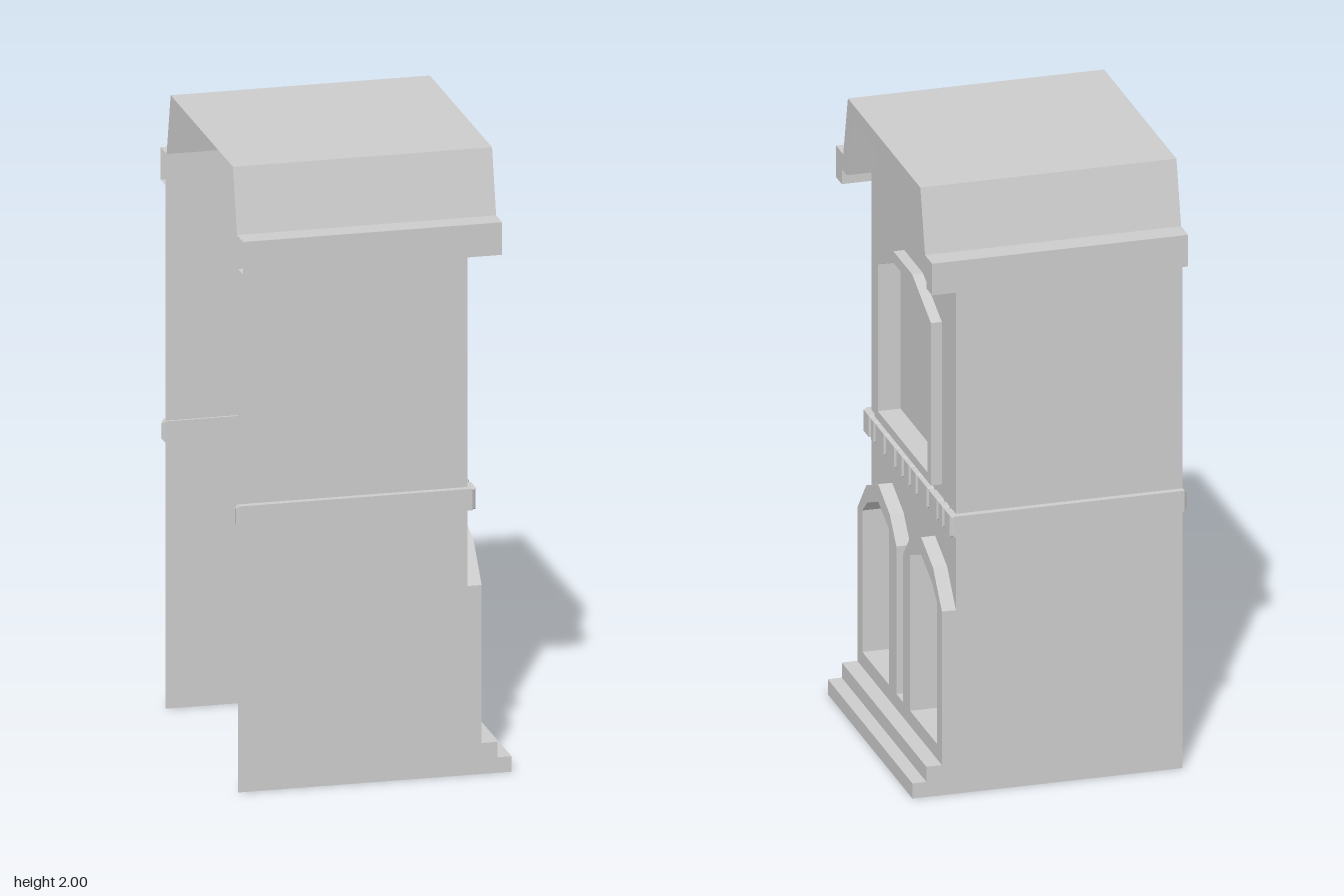
import * as THREE from 'three';

const material = new THREE.MeshStandardMaterial({ color: 0xcccccc, flatShading: true, side: THREE.DoubleSide });
const WALL_X = 0.30, BACK_X = -0.43, HALF = 0.45;

export function createModel() {
  const model = new THREE.Group();

  const add = (name, geometry, parent = model) => {
    const mesh = new THREE.Mesh(geometry, material);
    mesh.name = name;
    parent.add(mesh);
    return mesh;
  };
  const toShape = (points, holes = []) => {
    const shape = new THREE.Shape(points.map(p => new THREE.Vector2(...p)));
    shape.holes = holes.map(h => new THREE.Path(h.map(p => new THREE.Vector2(...p))));
    return shape;
  };
  const mirrored = half => [...half, ...half.map(([u, y]) => [-u, y]).reverse()];

  // Flat panel facing +x; outline points are (u, y) with u = -z
  const panel = (points, x, holes) =>
    new THREE.ShapeGeometry(toShape(points, holes)).rotateY(Math.PI / 2).translate(x, 0, 0);

  // Sheet following a (u, y) path, stretched from x0 to x1
  const sheet = (path, x0, x1, closed = false) => {
    const positions = [];
    const pts = closed ? [...path, path[0]] : path;
    for (let i = 0; i < pts.length - 1; i++) {
      const [[u, y], [v, w]] = [pts[i], pts[i + 1]];
      positions.push(x0, y, -u, x1, y, -u, x1, w, -v, x0, y, -u, x1, w, -v, x0, w, -v);
    }
    const g = new THREE.BufferGeometry();
    g.setAttribute('position', new THREE.Float32BufferAttribute(positions, 3));
    g.computeVertexNormals();
    return g;
  };

  // Outlines of the openings and their surrounds
  const windowOuter = mirrored([[0.30, 0.97], [0.30, 1.51], [0.10, 1.595]]);
  const windowInner = mirrored([[0.265, 1.0], [0.265, 1.487], [0.10, 1.557]]);
  const doorRight = [[0.397, 0.15], [0.397, 0.62], [0.344, 0.667], [0.228, 0.714], [0.111, 0.667], [0.111, 0.15]];
  const doorLeft = doorRight.map(([u, y]) => [-u, y]);
  const arcade = mirrored([
    [HALF, 0.10], [HALF, 0.61], [0.355, 0.72], [0.228, 0.772], [0.106, 0.72], [0.034, 0.64], [0.034, 0.15]
  ]);

  // Side walls, whose front edge follows the plinth steps
  const sideOutline = [
    [BACK_X, 0], [0.44, 0], [0.44, 0.05], [0.395, 0.05], [0.395, 0.10], [0.345, 0.10],
    [0.345, 0.61], [WALL_X, 0.61], [WALL_X, 1.74], [BACK_X, 1.74]
  ];
  for (const [name, s] of [['frontSideWall', 1], ['backSideWall', -1]]) {
    add(name, new THREE.ShapeGeometry(toShape(sideOutline))).position.z = s * HALF;
  }

  // Facade with openings
  const gableInner = [[HALF, 1.69], [HALF, 1.74], [0.397, 1.74], [0.339, 1.95]];
  add('facade', panel(mirrored([[HALF, 0.15], ...gableInner]), WALL_X, [windowInner, doorRight, doorLeft]));

  // Stepped plinth
  const steps = [[0.44, 0], [0.44, 0.05], [0.395, 0.05], [0.395, 0.10], [0.345, 0.10]];
  const plinth = sheet(steps.map(([x, y]) => [-x, y]), -HALF, HALF).rotateY(Math.PI / 2);
  add('plinth', plinth);

  // Raised surrounds
  add('doorSurround', panel(arcade, 0.345, [doorRight, doorLeft]));
  add('doorSurroundEdge', sheet(arcade, WALL_X, 0.345));
  add('windowFrame', panel(windowOuter, 0.335, [windowInner]));
  add('windowFrameEdge', sheet(windowOuter, WALL_X, 0.335, true));

  // Recessed panels with their reveals
  const recess = (name, outline, front, back) => {
    add(name + 'Panel', panel(outline, back));
    add(name + 'Reveal', sheet(outline, back, front, true));
  };
  recess('window', windowInner, 0.335, 0.262);
  recess('rightDoor', doorRight, 0.345, 0.24);
  recess('leftDoor', doorLeft, 0.345, 0.24);

  // Roof shell with cornice
  const roofProfile = mirrored([[HALF, 1.69], [0.51, 1.69], [0.51, 1.795], [0.435, 1.795], [0.385, 2.0]]);
  add('roof', sheet(roofProfile, BACK_X, 0.395));
  const gableRim = mirrored(gableInner);
  add('gableRim', panel([...roofProfile, ...gableRim.slice().reverse()], 0.395));
  add('gableSoffit', sheet(gableRim, WALL_X, 0.395));

  // Chamfered bar, long axis along x, centred
  const bar = (length, height, depth, c = 0.01) => {
    const h = height / 2 - c, d = depth / 2 - c;
    const g = new THREE.ExtrudeGeometry(toShape([[-d, -h], [d, -h], [d, h], [-d, h]]), {
      depth: length - 2 * c, bevelEnabled: true, bevelSegments: 1, bevelSize: c, bevelThickness: c
    });
    return g.translate(0, 0, -length / 2 + c).rotateY(Math.PI / 2);
  };

  // Belt course along the sides
  const belt = new THREE.Group();
  belt.name = 'beltCourse';
  model.add(belt);
  for (const s of [1, -1]) {
    add('sideBelt', bar(0.76, 0.07, 0.03), belt).position.set(-0.06, 0.895, s * 0.457);
  }

  // Belt course on the facade: a core strip with raised blocks
  add('beltCore', new THREE.BoxGeometry(0.02, 0.056, 0.92), belt).position.set(0.3, 0.895, 0);
  const joints = [0.472, 0.39, 0.34, 0.23, 0.12, 0.04, -0.035, -0.11, -0.225, -0.33, -0.39, -0.472];
  for (let i = 0; i < joints.length - 1; i++) {
    const block = add('beltBlock', bar(joints[i] - joints[i + 1] - 0.012, 0.07, 0.04, 0.007), belt);
    block.rotation.y = Math.PI / 2;
    block.position.set(0.303, 0.895, (joints[i] + joints[i + 1]) / 2);
  }

  return model;
}
